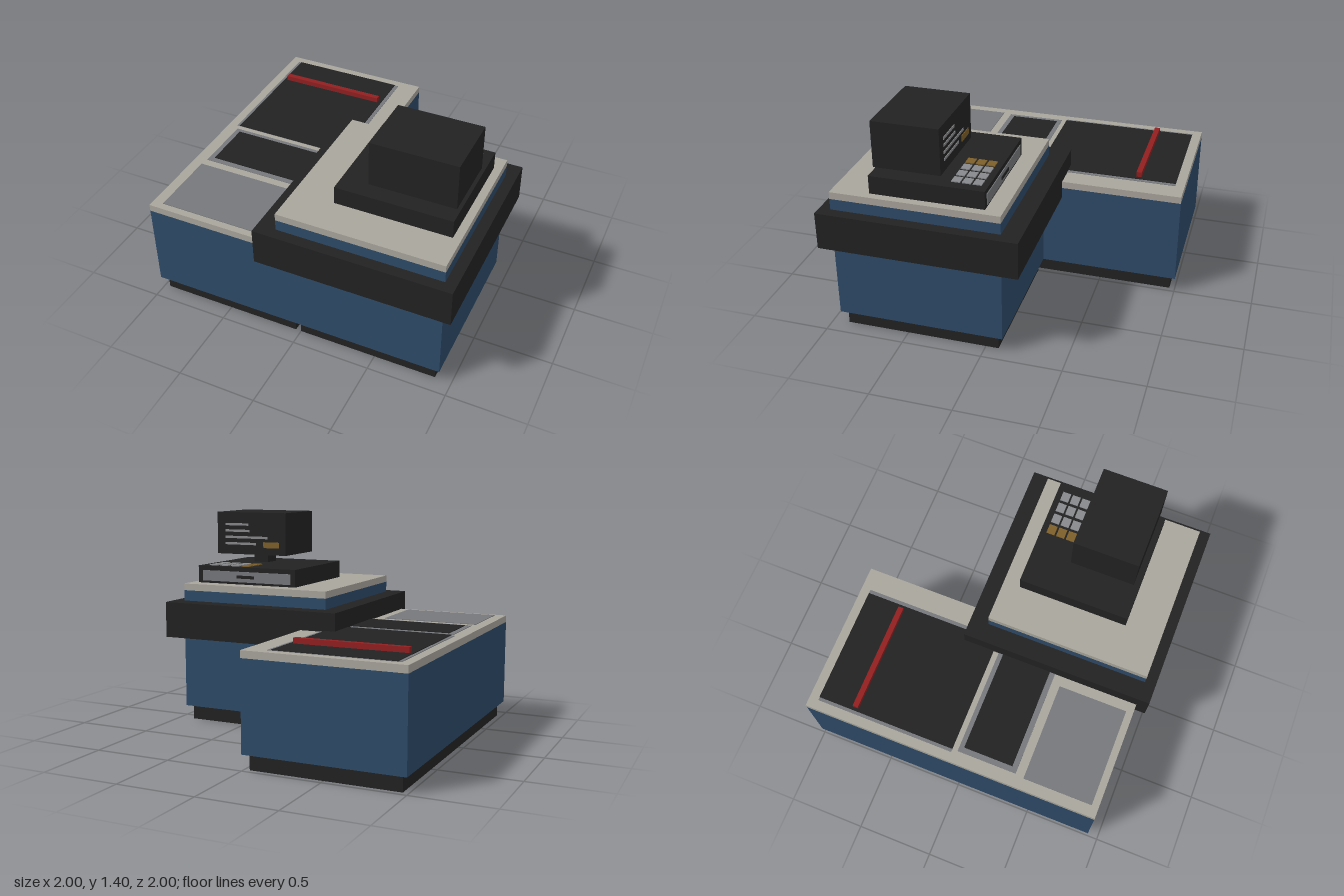
import * as THREE from 'three';

const mat = (name, color) => new THREE.MeshStandardMaterial({ name, color });

export function createModel() {
  const blue = mat('navy panel', 0x2e4a69);
  const black = mat('black plastic', 0x222222);
  const stone = mat('warm grey worktop', 0xa9a59c);
  const steel = mat('steel grey', 0x76787b);
  const keyGrey = mat('key grey', 0x88898c);
  const red = mat('red divider', 0x921f21);
  const amber = mat('amber', 0x7d5f2a);

  const root = new THREE.Group();
  root.name = 'checkoutCounter';

  // Box given by its min and max on each axis
  function box(name, material, x0, x1, y0, y1, z0, z1, parent = root) {
    const mesh = new THREE.Mesh(new THREE.BoxGeometry(x1 - x0, y1 - y0, z1 - z0), material);
    mesh.position.set((x0 + x1) / 2, (y0 + y1) / 2, (z0 + z1) / 2);
    mesh.name = name;
    parent.add(mesh);
    return mesh;
  }

  // Rectangular ring of walls, open above and below
  function frame(name, material, x0, x1, y0, y1, z0, z1, t) {
    const rect = (P, a, b, c, d) => {
      const p = new P();
      p.moveTo(a, -d).lineTo(b, -d).lineTo(b, -c).lineTo(a, -c).closePath();
      return p;
    };
    const shape = rect(THREE.Shape, x0, x1, z0, z1);
    shape.holes.push(rect(THREE.Path, x0 + t, x1 - t, z0 + t, z1 - t));
    const geo = new THREE.ExtrudeGeometry(shape, { depth: y1 - y0, bevelEnabled: false });
    geo.rotateX(-Math.PI / 2).translate(0, y0, 0);
    const mesh = new THREE.Mesh(geo, material);
    mesh.name = name;
    root.add(mesh);
  }

  // Conveyor counter
  frame('conveyorPlinth', black, -0.965, -0.035, 0, 0.097, -0.965, 0.895, 0.06);
  box('conveyorBody', blue, -1, 0, 0.097, 0.655, -1, 0.93);
  box('conveyorTop', stone, -1, 0, 0.655, 0.7, -1, 0.93);
  box('beltTray', steel, -0.94, -0.14, 0.7, 0.703, -0.94, -0.035);
  box('belt', black, -0.92, -0.165, 0.703, 0.707, -0.94, -0.035);
  box('scannerTray', steel, -0.92, -0.16, 0.7, 0.703, 0, 0.385);
  box('scannerGlass', black, -0.885, -0.195, 0.703, 0.707, 0.03, 0.35);
  box('baggingPlate', steel, -0.93, -0.3, 0.7, 0.704, 0.44, 0.885);
  box('dividerBar', red, -0.9, -0.19, 0.707, 0.74, -0.715, -0.68);

  // Register stand: hollow base, wide bumper and raised worktop
  frame('standPlinth', black, 0, 0.895, 0, 0.097, -0.08, 0.895, 0.06);
  frame('standBody', blue, 0, 0.93, 0.097, 0.585, -0.115, 0.93, 0.04);
  box('bumper', black, -0.235, 1, 0.585, 0.82, -0.235, 1);
  box('standNeck', blue, -0.115, 0.93, 0.82, 0.89, -0.115, 0.93);
  box('standTop', stone, -0.115, 0.93, 0.89, 0.935, -0.115, 0.93);

  // Cash register
  const register = new THREE.Group();
  register.name = 'cashRegister';
  root.add(register);
  box('registerBase', black, 0.15, 0.88, 0.935, 1.05, -0.008, 0.697, register);
  box('drawerFront', steel, 0.185, 0.845, 0.95, 1.02, -0.013, -0.008, register);
  box('drawerHandle', black, 0.45, 0.58, 0.975, 0.995, -0.017, -0.013, register);
  [0.51, 0.59, 0.673, 0.755].forEach((x, column) => {
    for (let row = 0; row < 3; row++) {
      const z = 0.03 + row * 0.065;
      box('key', column ? keyGrey : amber, x, x + 0.062, 1.05, 1.056, z, z + 0.053, register);
    }
  });

  // Display, its screen facing the cashier at the back
  box('displayStand', black, 0.56, 0.67, 1.05, 1.115, 0.39, 0.505, register);
  box('display', black, 0.35, 0.88, 1.112, 1.4, 0.25, 0.66, register);
  [0.18, 0.19, 0.33, 0.24].forEach((length, i) => {
    const y = 1.317 - i * 0.044;
    box('screenLine', keyGrey, 0.817 - length, 0.817, y - 0.008, y + 0.008, 0.246, 0.25, register);
  });
  box('screenTotal', amber, 0.4, 0.52, 1.16, 1.2, 0.246, 0.25, register);

  return root;
}
